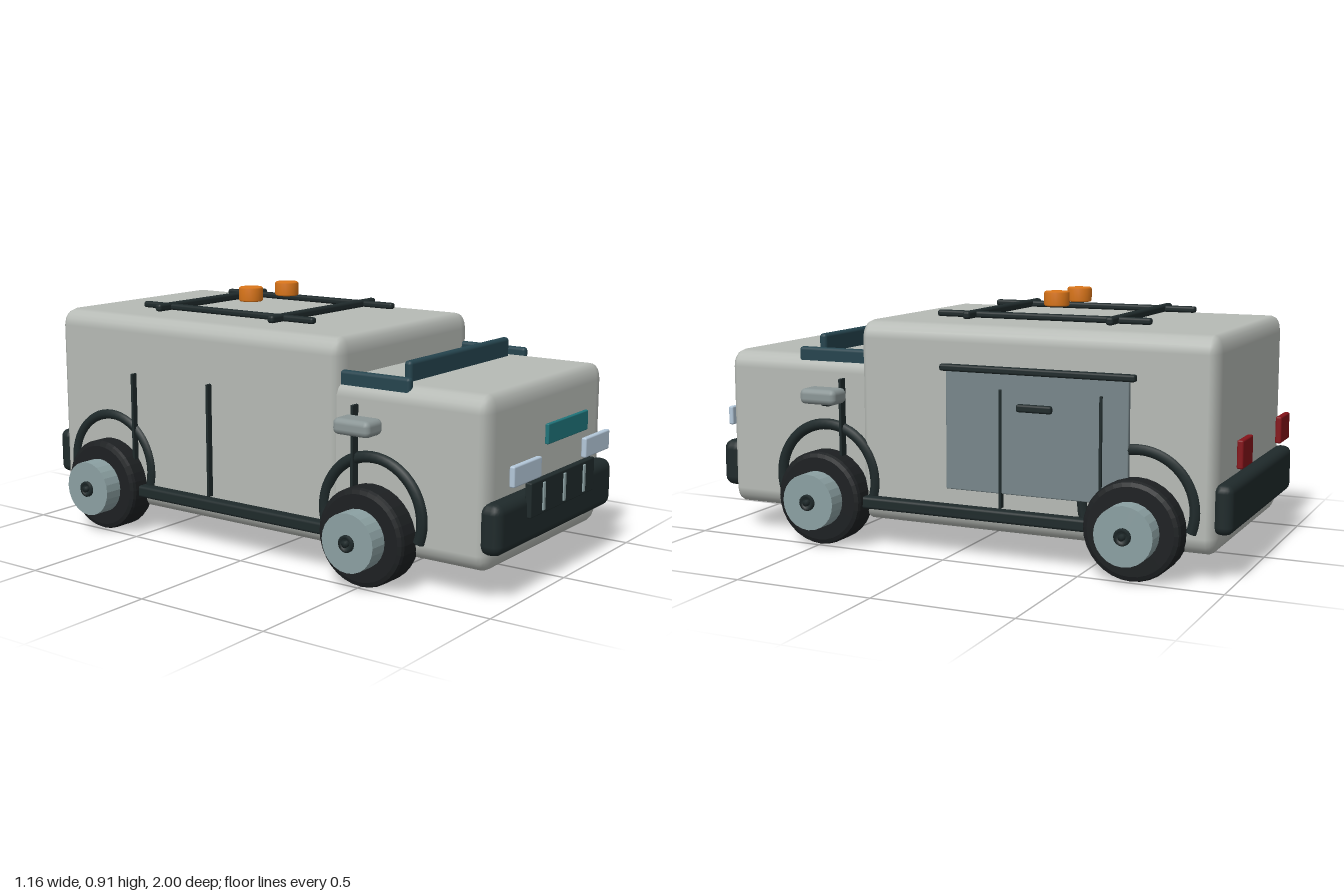
import * as THREE from 'three';
import { RoundedBoxGeometry } from 'three/addons/geometries/RoundedBoxGeometry.js';

const paint = (color, flatShading = false) => new THREE.MeshStandardMaterial({ color, flatShading });

export function createModel() {
  const model = new THREE.Group();
  const mats = {
    body: paint(0xb6bab5), trim: paint(0x1f2a2b), tyre: paint(0x1d2022, true), hub: paint(0x8ba0a2, true),
    glass: paint(0x25444e), teal: paint(0x1f747a), lamp: paint(0xb4c8da), amber: paint(0xdb761a),
    red: paint(0x85141a), mirror: paint(0x8b9696), door: paint(0x77868a),
  };

  function add(name, geometry, mat, x = 0, y = 0, z = 0, parent = model) {
    const mesh = new THREE.Mesh(geometry, mat);
    mesh.name = name;
    mesh.position.set(x, y, z);
    parent.add(mesh);
    return mesh;
  }

  // Softened block between two corners; zSoft flattens the rounding along z
  function block(name, mat, [x0, x1], [y0, y1], [z0, z1], r = 0.005, zSoft = 1) {
    const g = new RoundedBoxGeometry(x1 - x0, y1 - y0, (z1 - z0) / zSoft, 2, r);
    g.scale(1, 1, zSoft);
    return add(name, g, mat, (x0 + x1) / 2, (y0 + y1) / 2, (z0 + z1) / 2);
  }
  // Block mirrored to the left (+x) and right (-x)
  function pair(name, mat, [x0, x1], ys, zs, r) {
    block(name + 'Left', mat, [x0, x1], ys, zs, r);
    block(name + 'Right', mat, [-x1, -x0], ys, zs, r);
  }

  // Body
  block('rearBody', mats.body, [-0.425, 0.425], [0.09, 0.81], [-0.94, 0.365], 0.06, 0.5);
  block('frontBody', mats.body, [-0.415, 0.415], [0.1, 0.677], [0.28, 0.925], 0.06, 0.5);

  // Windows
  block('windscreen', mats.glass, [-0.33, 0.33], [0.5, 0.745], [0.56, 0.59], 0.013);
  pair('sideWindow', mats.glass, [0.373, 0.401], [0.5, 0.703], [0.35, 0.63], 0.012);

  // Bumpers and sills
  block('frontBumper', mats.trim, [-0.413, 0.413], [0.162, 0.335], [0.89, 0.975], 0.035);
  block('rearBumper', mats.trim, [-0.407, 0.407], [0.162, 0.33], [-0.992, -0.925], 0.028);
  pair('sill', mats.trim, [0.42, 0.468], [0.143, 0.186], [-0.6, 0.42], 0.01);

  // Front face
  block('grille', mats.trim, [-0.231, 0.229], [0.257, 0.375], [0.965, 0.989], 0.005);
  for (const x of [-0.146, 0, 0.146])
    block('grilleBar', mats.hub, [x - 0.008, x + 0.008], [0.268, 0.364], [0.98, 0.994], 0.003);
  pair('headlight', mats.lamp, [0.16, 0.346], [0.382, 0.452], [0.968, 0.988], 0.006);
  block('frontPanel', mats.teal, [-0.145, 0.143], [0.488, 0.556], [0.986, 1], 0.004);

  // Rear lights
  pair('tailLight', mats.red, [0.192, 0.318], [0.37, 0.466], [-1, -0.978], 0.006);

  // Mirrors
  pair('mirrorArm', mats.trim, [0.38, 0.475], [0.502, 0.53], [0.46, 0.5], 0.01);
  pair('mirror', mats.mirror, [0.434, 0.528], [0.514, 0.57], [0.41, 0.555], 0.02);

  // Door seams
  for (const z of [0.435, -0.192, -0.555])
    pair('doorSeam', mats.trim, [0.41, 0.447], [0.19, 0.6], [z - 0.005, z + 0.005], 0.002);

  // Sliding door, left side only
  block('slidingDoor', mats.door, [0.415, 0.44], [0.24, 0.66], [-0.65, 0.015], 0.004);
  block('doorRail', mats.trim, [0.42, 0.45], [0.652, 0.676], [-0.673, 0.037], 0.008);
  block('doorHandle', mats.trim, [0.43, 0.455], [0.528, 0.555], [-0.382, -0.253], 0.008);

  // Roof rack and beacons
  pair('rackRail', mats.trim, [0.234, 0.262], [0.82, 0.843], [-0.66, 0.138], 0.009);
  for (const z of [-0.533, -0.003])
    block('rackCrossbar', mats.trim, [-0.322, 0.32], [0.819, 0.847], [z - 0.014, z + 0.014], 0.01);
  const beaconProfile = [[0, -0.026], [0.041, -0.026], [0.045, -0.021], [0.045, 0.021], [0.041, 0.026], [0, 0.026]];
  const beacon = new THREE.LatheGeometry(beaconProfile.map(p => new THREE.Vector2(...p)), 24);
  for (const x of [-0.11, 0.107]) add('beacon', beacon, mats.amber, x, 0.885, -0.258);

  // Wheels: profiles turned about the axle, pointing outward
  const turned = (points, sides) => new THREE.LatheGeometry(points.map(p => new THREE.Vector2(...p)), sides);
  const tyre = turned([[0, 0.383], [0.15, 0.383], [0.164, 0.388], [0.169, 0.398], [0.169, 0.482],
    [0.164, 0.492], [0.15, 0.497], [0, 0.497]], 32);
  const hub = turned([[0, 0.48], [0.101, 0.48], [0.101, 0.566], [0, 0.566]], 24);
  const cap = turned([[0, 0.55], [0.029, 0.55], [0.029, 0.575], [0.018, 0.575], [0.018, 0.568], [0, 0.568]], 16);
  const bolt = turned([[0, 0.56], [0.011, 0.56], [0.011, 0.582], [0, 0.582]], 12);

  // Wheel arch: ring running a little past a half circle
  const arc = Math.PI + 0.7;
  const arch = new THREE.TorusGeometry(0.195, 0.02, 8, 32, arc);
  arch.rotateZ(-0.35).rotateY(Math.PI / 2);

  for (const side of [1, -1]) {
    for (const [end, z] of [['front', 0.502], ['rear', -0.68]]) {
      const wheel = new THREE.Group();
      wheel.name = end + 'Wheel' + (side > 0 ? 'Left' : 'Right');
      wheel.position.set(0, 0.17, z);
      wheel.rotation.z = -side * Math.PI / 2;
      add('tyre', tyre, mats.tyre, 0, 0, 0, wheel);
      add('hub', hub, mats.hub, 0, 0, 0, wheel);
      add('hubCap', cap, mats.trim, 0, 0, 0, wheel);
      add('hubBolt', bolt, mats.trim, 0, 0, 0, wheel);
      model.add(wheel);
      add(end + 'Arch', arch, mats.trim, side * 0.42, 0.235, z);
    }
  }
  return model;
}
